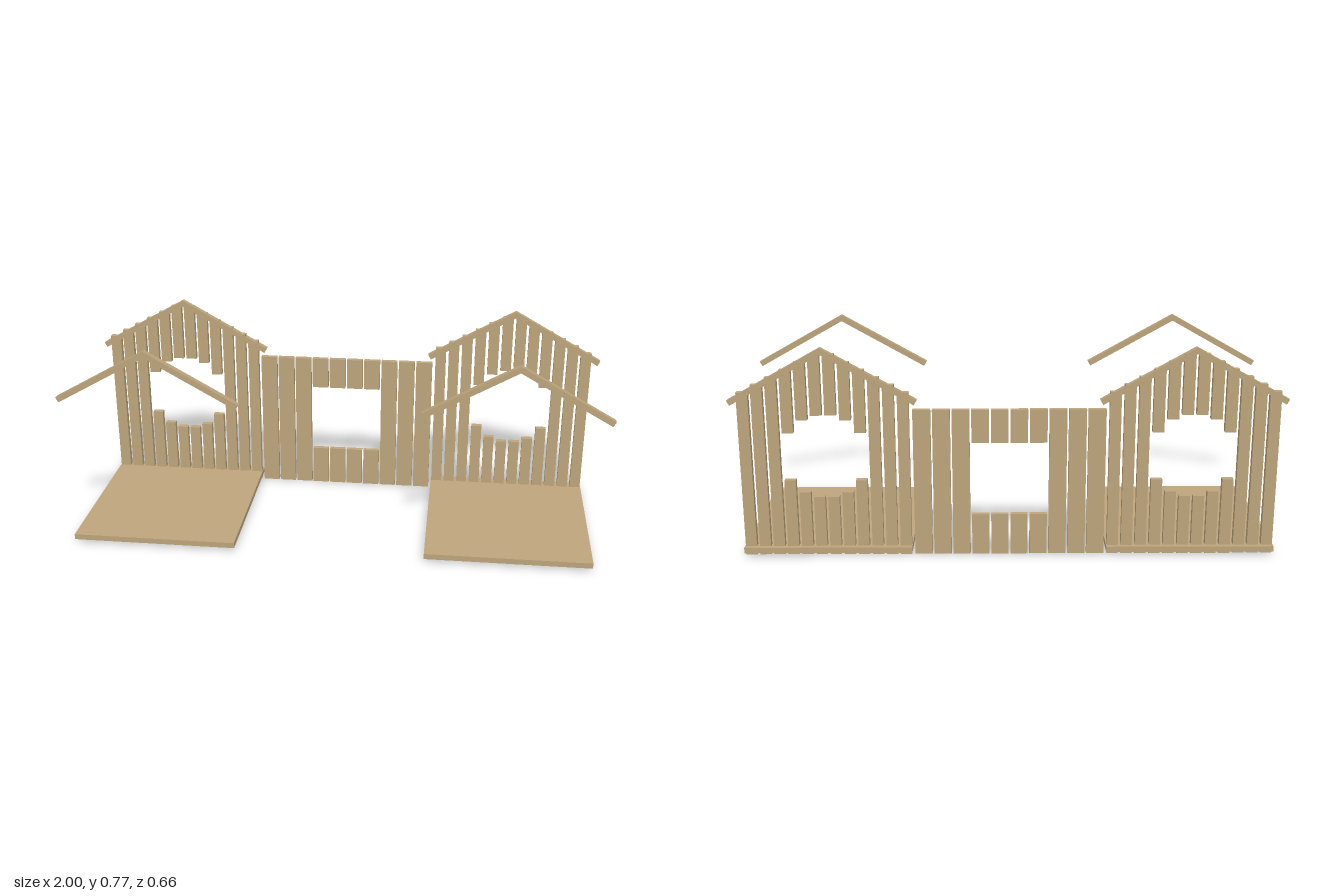
import * as THREE from 'three';

const wood = new THREE.MeshStandardMaterial({ color: 0xbca47c });
wood.name = 'wood';

const WALL_Z = -0.301;
const DEPTH = 0.023;

// A vertical board spanning y0..y1
function addBoard(parent, name, x, y0, y1, width, depth) {
  const mesh = new THREE.Mesh(new THREE.BoxGeometry(width, y1 - y0, depth), wood);
  mesh.name = name;
  mesh.position.set(x, (y0 + y1) / 2, WALL_Z);
  parent.add(mesh);
}

// Pair of sloping roof battens joined at the ridge
function makeRoofTrim(z) {
  const trim = new THREE.Group();
  trim.name = 'roofTrim';
  for (const s of [1, -1]) {
    const pts = [[0, 0.775], [0, 0.751], [s * 0.3265, 0.567], [s * 0.337, 0.585]];
    const shape = new THREE.Shape(pts.map(([x, y]) => new THREE.Vector2(x, y)));
    const geo = new THREE.ExtrudeGeometry(shape, { depth: DEPTH, bevelEnabled: false });
    const mesh = new THREE.Mesh(geo, wood);
    mesh.name = s > 0 ? 'leftRoofBatten' : 'rightRoofBatten';
    mesh.position.z = z - DEPTH / 2;
    trim.add(mesh);
  }
  return trim;
}

// Gabled wall with a stepped round window, floor slab and two roof trims
function makeHouse(name, x) {
  const house = new THREE.Group();
  house.name = name;
  house.position.x = x;

  const floor = new THREE.Mesh(new THREE.BoxGeometry(0.615, 0.021, 0.662), wood);
  floor.name = 'floor';
  floor.position.set(-0.003, 0.0225, 0);
  house.add(floor);

  // Window sill and head heights, from the middle boards outwards
  const opening = [[0.223, 0.53], [0.24, 0.513], [0.287, 0.465]];
  for (let i = 0; i < 12; i++) {
    const k = Math.floor(Math.abs(i - 5.5));
    const bx = (i - 5.5) * 0.0517 - 0.003;
    const top = 0.752 - 0.0274 * k;
    if (k < 3) {
      addBoard(house, 'lowerWallBoard', bx, 0, opening[k][0], 0.041, DEPTH);
      addBoard(house, 'upperWallBoard', bx, opening[k][1], top, 0.041, DEPTH);
    } else {
      addBoard(house, 'wallBoard', bx, 0, top, 0.041, DEPTH);
    }
  }

  house.add(makeRoofTrim(WALL_Z), makeRoofTrim(-WALL_Z));
  return house;
}

// Straight fence with a square window
function makeFence() {
  const fence = new THREE.Group();
  fence.name = 'fence';
  for (let i = 0; i < 10; i++) {
    const x = (i - 4.5) * 0.0699 - 0.0035;
    if (i >= 3 && i <= 6) {
      addBoard(fence, 'lowerFenceBoard', x, 0, 0.154, 0.0635, 0.02);
      addBoard(fence, 'upperFenceBoard', x, 0.427, 0.55, 0.0635, 0.02);
    } else {
      addBoard(fence, 'fenceBoard', x, 0, 0.55, 0.0635, 0.02);
    }
  }
  return fence;
}

export function createModel() {
  const model = new THREE.Group();
  model.name = 'playhouseFront';
  model.add(makeHouse('leftHouse', 0.663), makeHouse('rightHouse', -0.663), makeFence());
  return model;
}
